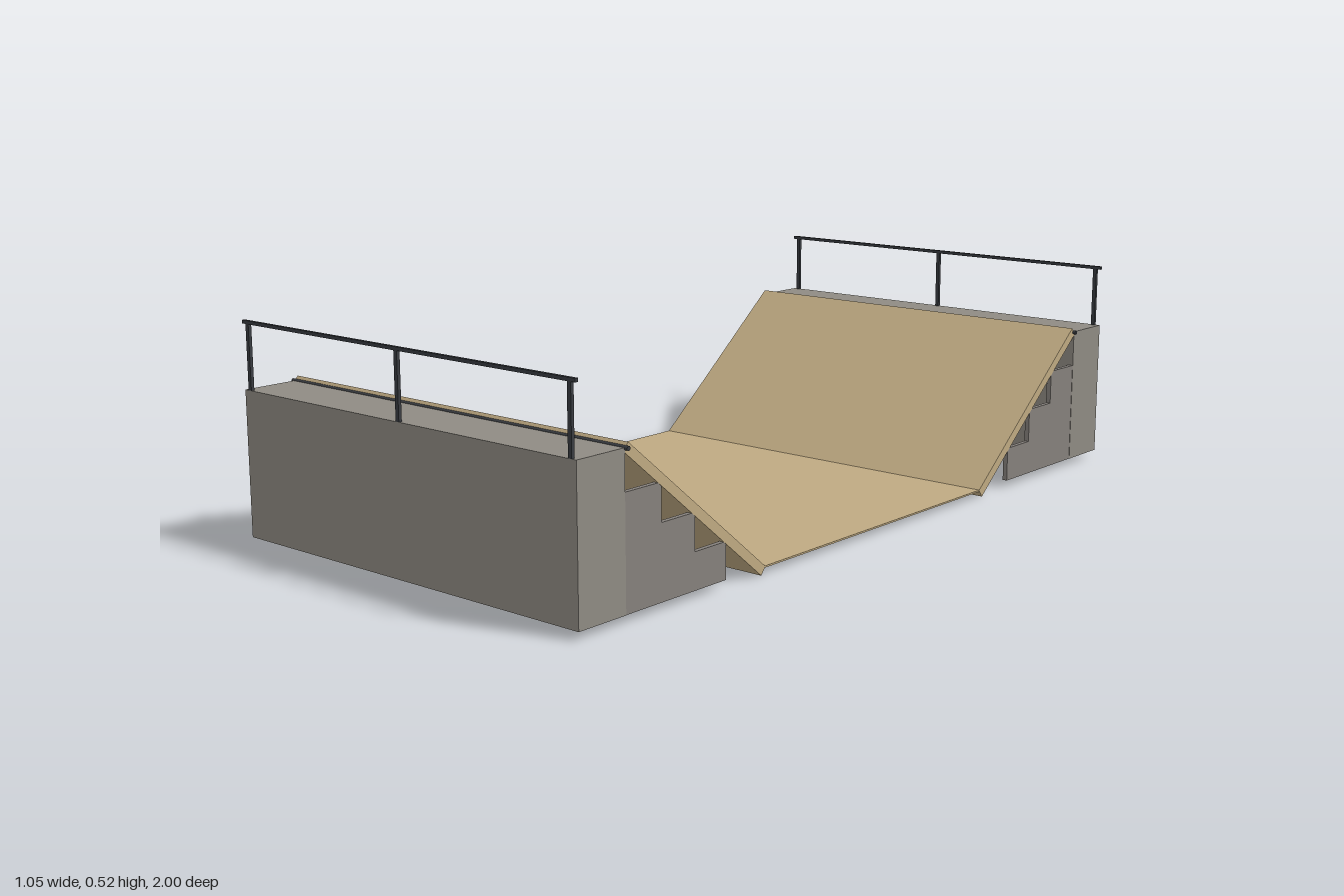
import * as THREE from 'three';

const mat = (color) => new THREE.MeshStandardMaterial({ color });
const concrete = mat(0x8f8b83), stringerGrey = mat(0x86817c), wood = mat(0xbfaa82), steel = mat(0x383b40);

const HALF = 0.515; // half width of the deck
const EDGE = 0.865; // inner edge of each platform
const TOP = 0.36; // platform height
const BASE = 0.018; // underside of platforms and stringers

function add(parent, name, geometry, material, x = 0, y = 0, z = 0) {
  const mesh = new THREE.Mesh(geometry, material);
  mesh.name = name;
  mesh.position.set(x, y, z);
  parent.add(mesh);
  return mesh;
}

// Extrudes a [z, y] outline along x, centred on x = 0
function extrudeAlongX(points, width) {
  const shape = new THREE.Shape(points.map(([z, y]) => new THREE.Vector2(-z, y)));
  const geometry = new THREE.ExtrudeGeometry(shape, { depth: width, bevelEnabled: false });
  return geometry.translate(0, 0, -width / 2).rotateY(Math.PI / 2);
}

// One end of the ramp, built at +z
function createEnd(name) {
  const end = new THREE.Group();
  end.name = name;

  // Platform block
  add(end, 'platform', new THREE.BoxGeometry(HALF * 2, TOP - BASE, 1 - EDGE),
    concrete, 0, (TOP + BASE) / 2, (1 + EDGE) / 2);

  // Sloped deck
  add(end, 'slope', extrudeAlongX([[0.424, 0.018], [0.438, 0], [0.869, 0.353], [0.855, 0.37]], HALF * 2), wood);

  // Pipe along the lip
  const coping = add(end, 'coping', new THREE.CylinderGeometry(0.005, 0.005, 1.046, 12), steel, 0, TOP - 0.001, 0.862);
  coping.rotation.z = Math.PI / 2;

  // Stepped side supports under the slope
  const outline = [[EDGE, BASE], [0.555, BASE], [0.555, 0.102], [0.655, 0.102],
    [0.655, 0.186], [0.757, 0.186], [0.757, 0.27], [EDGE, 0.27]];
  for (const side of [-1, 1]) {
    add(end, side > 0 ? 'leftStringer' : 'rightStringer', extrudeAlongX(outline, 0.012), stringerGrey, side * (HALF - 0.007));
  }

  // Guard rail
  add(end, 'topRail', new THREE.BoxGeometry(HALF * 2, 0.008, 0.008), steel, 0, 0.514, 0.996);
  for (const x of [-0.498, 0, 0.498]) {
    add(end, 'railPost', new THREE.BoxGeometry(0.01, 0.152, 0.008), steel, x, TOP + 0.076, 0.996);
  }
  return end;
}

export function createModel() {
  const model = new THREE.Group();
  model.name = 'skateRamp';

  // Flat bottom between the slopes
  add(model, 'floor', new THREE.BoxGeometry(HALF * 2, 0.004, 0.85), wood, 0, 0.017, 0);

  const front = createEnd('frontEnd');
  const back = createEnd('backEnd');
  back.rotation.y = Math.PI;
  model.add(front, back);
  return model;
}
